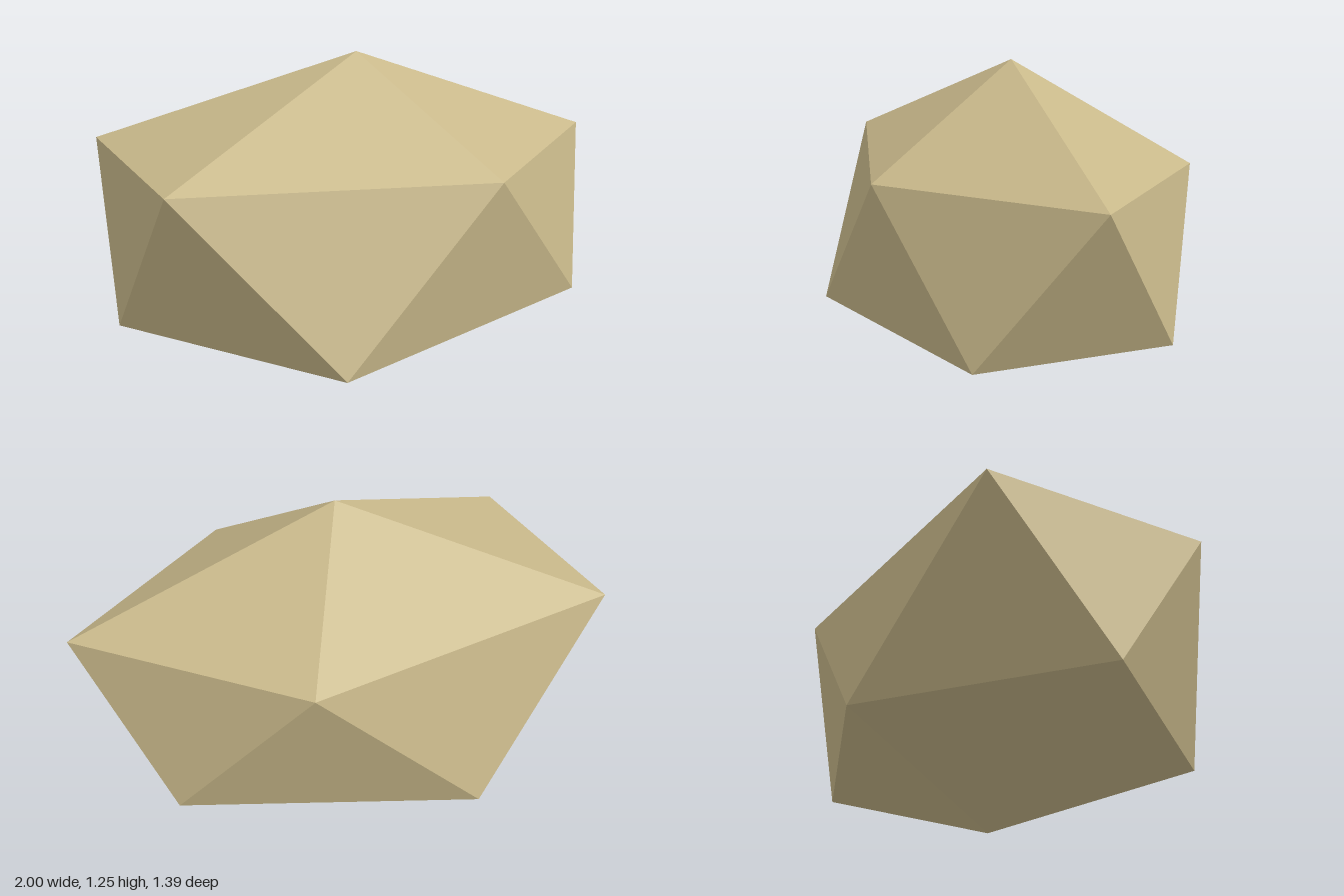
import * as THREE from 'three';

// Faceted boulder: an irregular twenty-sided stone made of two five-point rings and two tips
export function createModel() {
  const group = new THREE.Group();
  group.name = 'boulder';

  const stone = new THREE.MeshStandardMaterial({ color: 0xc8b88a });
  stone.name = 'sandstone';

  const top = [-0.03, 1.25, -0.01];
  const bottom = [-0.03, 0, -0.01];
  // Rings run from +x round towards +z; the lower points sit between the upper ones
  const upper = [[1, 0.87, -0.015], [0.27, 0.855, 0.605], [-0.91, 0.89, 0.41], [-0.95, 0.905, -0.46], [0.275, 0.86, -0.64]];
  const lower = [[0.755, 0.29, 0.37], [-0.38, 0.245, 0.695], [-1, 0.29, -0.01], [-0.36, 0.257, -0.695], [0.72, 0.3, -0.38]];

  const positions = [];
  const face = (a, b, c) => positions.push(...a, ...b, ...c);
  for (let i = 0; i < 5; i++) {
    const j = (i + 1) % 5;
    face(top, upper[j], upper[i]); // crown
    face(upper[i], upper[j], lower[i]); // sides pointing down
    face(upper[j], lower[j], lower[i]); // sides pointing up
    face(lower[i], lower[j], bottom); // underside
  }

  // Unshared corners keep every facet flat
  const geometry = new THREE.BufferGeometry();
  geometry.setAttribute('position', new THREE.Float32BufferAttribute(positions, 3));
  geometry.computeVertexNormals();

  const mesh = new THREE.Mesh(geometry, stone);
  mesh.name = 'stone';
  group.add(mesh);
  return group;
}
